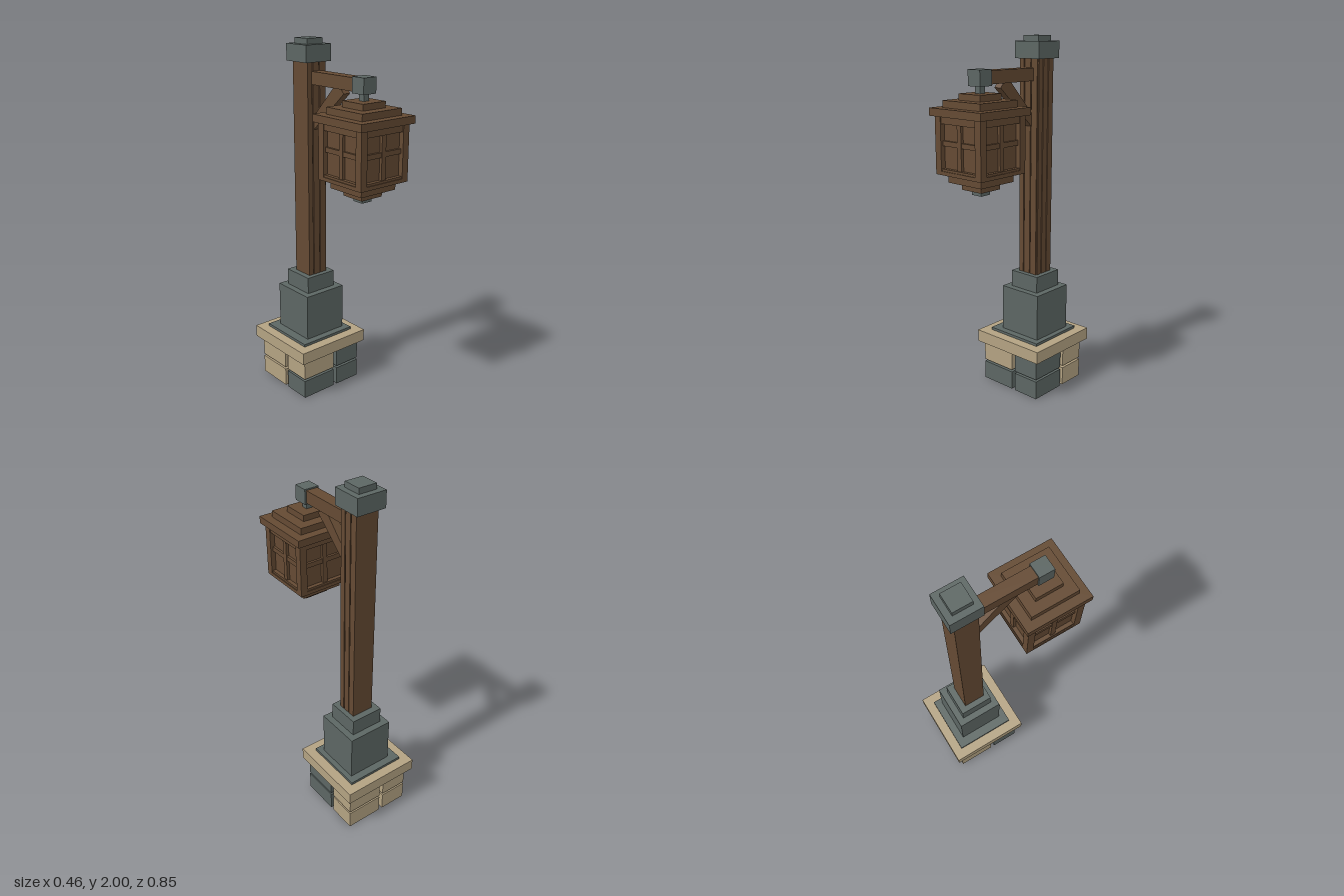
import * as THREE from 'three';

export function createModel() {
  const model = new THREE.Group();
  const mat = (name, color) => {
    const m = new THREE.MeshStandardMaterial({ color });
    m.name = name;
    return m;
  };
  const slate = mat('slate', 0x5c6663);
  const sand = mat('sandstone', 0xb3a282);
  const wood = mat('wood', 0x644a33);

  // Box given by its extents on each axis
  const box = (name, m, [x0, x1], [y0, y1], [z0, z1], parent = model) => {
    const mesh = new THREE.Mesh(new THREE.BoxGeometry(x1 - x0, y1 - y0, z1 - z0), m);
    mesh.position.set((x0 + x1) / 2, (y0 + y1) / 2, (z0 + z1) / 2);
    mesh.name = name;
    parent.add(mesh);
    return mesh;
  };
  // Square tier centred on (cx, cz)
  const tier = (name, m, cx, cz, half, y0, y1, parent = model) =>
    box(name, m, [cx - half, cx + half], [y0, y1], [cz - half, cz + half], parent);

  // Two courses of four stones laid in a pinwheel
  const stones = new THREE.Group();
  stones.name = 'baseStones';
  model.add(stones);
  [[0, 0.107], [0.12, 0.225]].forEach((y, course) => {
    box('frontLeftStone', slate, [0.04, 0.2], y, [-0.207, 0.01], stones);
    box('frontRightStone', course ? sand : slate, [-0.2, 0.016], y, [-0.15, 0.01], stones);
    box('backLeftStone', sand, [-0.016, 0.2], y, [-0.39, -0.23], stones);
    box('backRightStone', sand, [-0.2, -0.04], y, [-0.39, -0.174], stones);
  });

  // Stepped plinth
  const CX = 0.012, PZ = -0.193;
  tier('baseSlab', sand, 0, -0.193, 0.23, 0.238, 0.308);
  tier('plinthPlate', slate, 0, -0.195, 0.174, 0.308, 0.323);
  tier('plinthBlock', slate, CX, PZ, 0.132, 0.323, 0.588);
  tier('plinthCollar', slate, CX, PZ, 0.095, 0.588, 0.682);

  // Post with shallow planks on the front and left faces
  const post = new THREE.Group();
  post.name = 'post';
  model.add(post);
  const postY = [0.67, 1.885];
  box('postCore', wood, [-0.05, 0.072], postY, [-0.25, -0.133], post);
  for (const [a, b] of [[-0.05, -0.02], [-0.014, 0.026], [0.032, 0.072]])
    box('frontPlank', wood, [a, b], postY, [-0.134, -0.126], post);
  for (const [a, b] of [[-0.25, -0.212], [-0.206, -0.17], [-0.164, -0.133]])
    box('sidePlank', wood, [0.071, 0.079], postY, [a, b], post);
  tier('postCap', slate, CX, PZ, 0.084, 1.88, 1.97);
  tier('postFinial', slate, CX, PZ, 0.052, 1.97, 2.0);

  // Arm, end block and hanging link
  box('arm', wood, [-0.023, 0.045], [1.765, 1.833], [-0.135, 0.205]);
  box('armEnd', slate, [-0.03, 0.054], [1.758, 1.84], [0.2, 0.284]);
  box('hangingLink', slate, [-0.006, 0.03], [1.715, 1.765], [0.224, 0.26]);

  // Diagonal brace drawn as (z, y) and extruded across x
  const outline = new THREE.Shape([
    [0.115, 1.742], [0.09, 1.77], [0.04, 1.77], [-0.135, 1.587], [-0.135, 1.515],
  ].map(([z, y]) => new THREE.Vector2(-z, y)));
  const braceGeo = new THREE.ExtrudeGeometry(outline, { depth: 0.044, bevelEnabled: false });
  braceGeo.rotateY(Math.PI / 2);
  braceGeo.translate(CX - 0.022, 0, 0);
  const brace = new THREE.Mesh(braceGeo, wood);
  brace.name = 'brace';
  model.add(brace);

  // Lantern, built around its own vertical axis
  const lantern = new THREE.Group();
  lantern.name = 'lantern';
  lantern.position.set(CX, 0, 0.242);
  model.add(lantern);
  const lTier = (name, half, y0, y1, m = wood) => tier(name, m, 0, 0, half, y0, y1, lantern);
  lTier('roofTop', 0.076, 1.689, 1.722);
  lTier('roofMiddle', 0.133, 1.653, 1.689);
  lTier('roofEave', 0.181, 1.613, 1.653);
  lTier('lanternCore', 0.134, 1.33, 1.613);
  lTier('lanternFloor', 0.161, 1.315, 1.335);
  lTier('lowerStep', 0.118, 1.27, 1.315);
  lTier('bottomStep', 0.07, 1.232, 1.27);
  lTier('drop', 0.033, 1.204, 1.235, slate);

  // Corner posts
  for (const sx of [-1, 1]) for (const sz of [-1, 1]) {
    const c = box('cornerPost', wood, [-0.02, 0.02], [1.335, 1.613], [-0.02, 0.02], lantern);
    c.position.x = sx * 0.141;
    c.position.z = sz * 0.141;
  }
  // Rails and window bars on each of the four sides
  for (let i = 0; i < 4; i++) {
    const side = new THREE.Group();
    side.name = 'windowSide';
    side.rotation.y = i * Math.PI / 2;
    lantern.add(side);
    box('topRail', wood, [-0.121, 0.121], [1.575, 1.613], [0.13, 0.156], side);
    box('bottomRail', wood, [-0.121, 0.121], [1.335, 1.347], [0.13, 0.156], side);
    box('uprightBar', wood, [-0.014, 0.014], [1.347, 1.575], [0.13, 0.15], side);
    box('crossBar', wood, [-0.121, 0.121], [1.463, 1.489], [0.13, 0.147], side);
  }

  return model;
}
